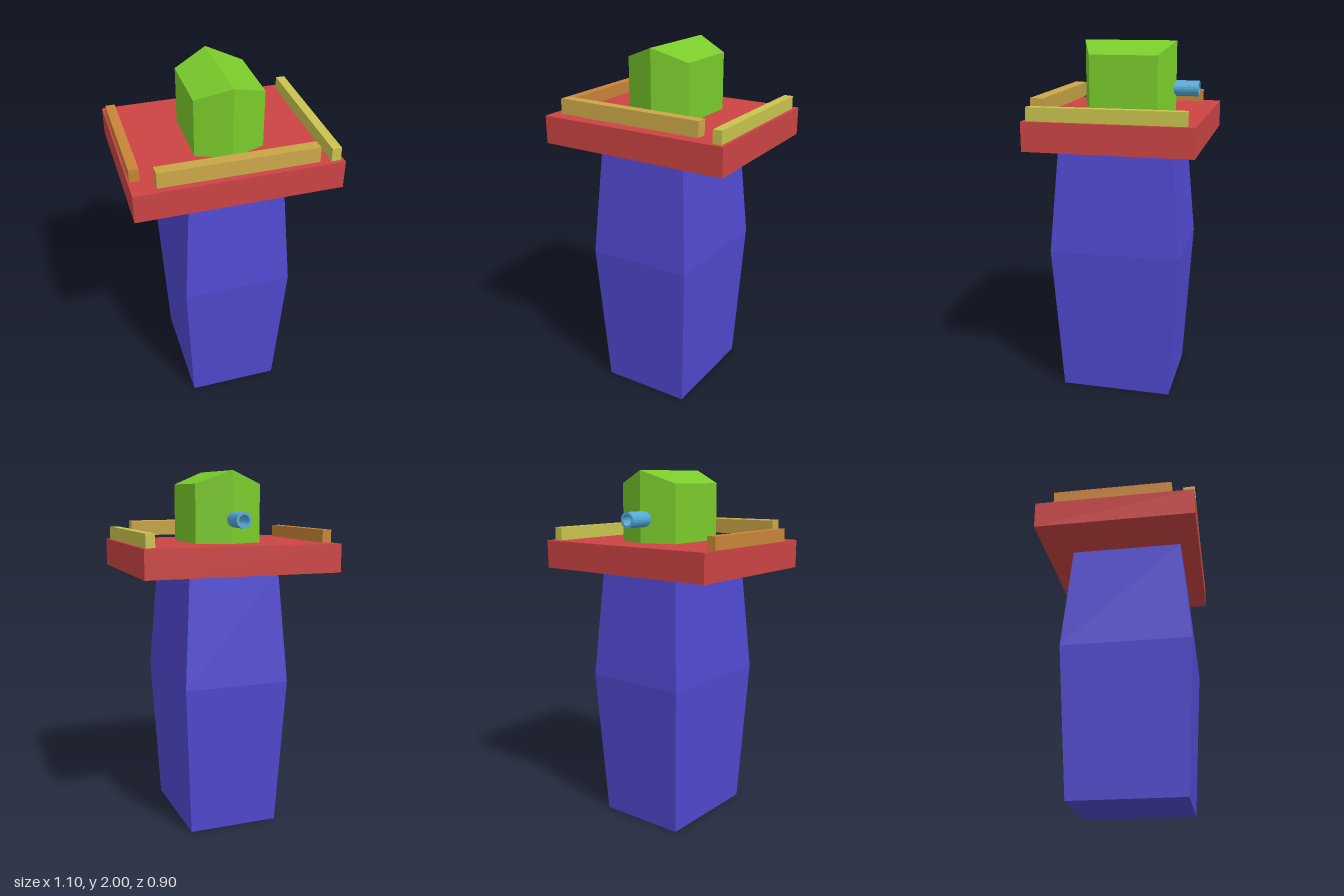
import * as THREE from 'three';

function part(group, name, geometry, color, position, options = {}) {
  const mesh = new THREE.Mesh(geometry, new THREE.MeshStandardMaterial({ color, flatShading: true, ...options }));
  mesh.name = name;
  mesh.position.set(...position);
  group.add(mesh);
  return mesh;
}

// Apply a rule to every vertex of a geometry
function reshape(geometry, rule) {
  const p = geometry.attributes.position;
  const v = new THREE.Vector3();
  for (let i = 0; i < p.count; i++) {
    rule(v.fromBufferAttribute(p, i));
    p.setXYZ(i, v.x, v.y, v.z);
  }
  geometry.computeVertexNormals();
  return geometry;
}

export function createModel() {
  const group = new THREE.Group();

  // Four-sided column, widest a little above its middle
  const columnHeight = 1.46;
  const column = reshape(new THREE.BoxGeometry(2, 2, 2, 1, 2, 1), (v) => {
    const middle = Math.abs(v.y) < 0.01;
    v.x *= middle ? 0.298 : 0.256;
    v.z *= middle ? 0.365 : 0.315;
    v.y = middle ? 0.845 : v.y > 0 ? columnHeight : 0;
  });
  part(group, 'column', column, 0x5049d0, [0.005, 0, 0.025]);

  // Deck slab
  part(group, 'deck', new THREE.BoxGeometry(1.095, 0.155, 0.895), 0xcc4444, [-0.002, 1.5375, -0.002]);

  // Six-sided cabin with pointed ends and a ridged roof
  const cabin = reshape(new THREE.CylinderGeometry(1, 1, 1, 6), (v) => {
    const side = Math.abs(v.x) > 0.1;
    v.x = side ? Math.sign(v.x) * 0.186 : 0;
    v.z *= side ? 0.374 : 0.2575;
    v.y = v.y < 0 ? 0 : side ? 0.315 : 0.385;
  });
  part(group, 'cabin', cabin, 0x7acc2b, [0.009, 1.615, -0.0075]);

  // Hollow pipe out of the back of the cabin
  const wall = [[0.029, 0], [0.043, 0], [0.043, 0.145], [0.029, 0.145], [0.029, 0]];
  const pipe = new THREE.LatheGeometry(wall.map(([r, y]) => new THREE.Vector2(r, y)), 20);
  pipe.rotateX(-Math.PI / 2);
  part(group, 'pipe', pipe, 0x55aad8, [-0.006, 1.744, -0.245], { side: THREE.DoubleSide });

  // Rails along the two sides and the front
  part(group, 'rightRail', new THREE.BoxGeometry(0.052, 0.07, 0.668), 0xc98438, [-0.515, 1.65, -0.012]);
  part(group, 'leftRail', new THREE.BoxGeometry(0.05, 0.072, 0.828), 0xc9c44e, [0.501, 1.651, 0.009]);
  const frontRail = part(group, 'frontRail', new THREE.BoxGeometry(0.835, 0.083, 0.066), 0xcaa648, [-0.012, 1.679, 0.41]);
  frontRail.rotation.set(-0.05, 0.008, -0.006);

  return group;
}
